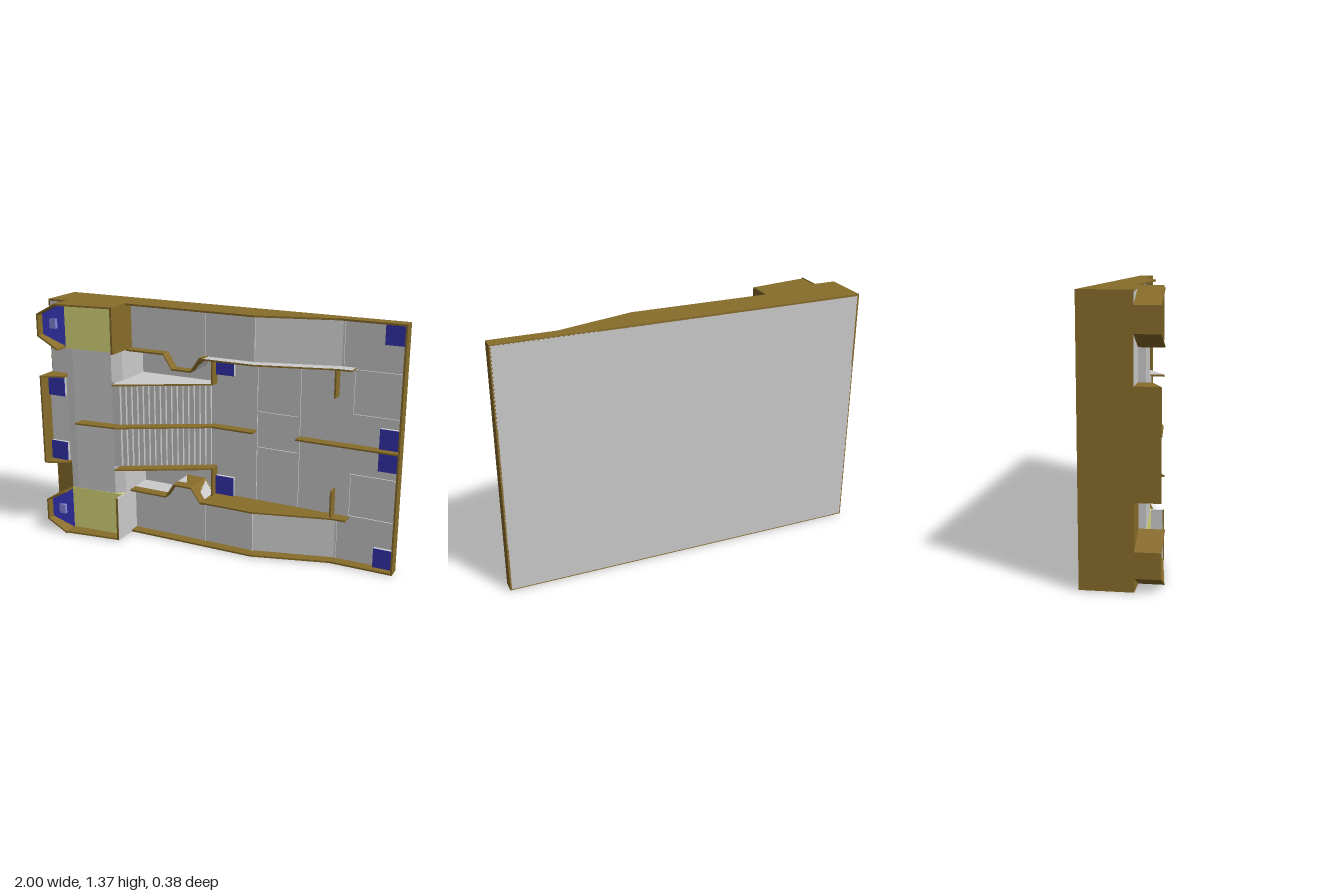
import * as THREE from 'three';

const mat = (color) => new THREE.MeshStandardMaterial({ color, side: THREE.DoubleSide, flatShading: true });

export function createModel() {
  const group = new THREE.Group();
  const grey = mat(0xcccccc), brown = mat(0x886c2a), yellow = mat(0xd8d87c), blue = mat(0x3333b0), pale = mat(0x8888dd);
  const H = 1.355, FLOOR = -0.18;

  const add = (name, geo, material) => {
    const mesh = new THREE.Mesh(geo, material);
    mesh.name = name;
    group.add(mesh);
    return mesh;
  };
  const box = (name, m, x0, x1, y0, y1, z0, z1) =>
    add(name, new THREE.BoxGeometry(x1 - x0, y1 - y0, z1 - z0)
      .translate((x0 + x1) / 2, (y0 + y1) / 2, (z0 + z1) / 2), m);
  // Side profile given as [x, z], swept along y
  const sweepY = (name, m, pts, y0, y1) => {
    const shape = new THREE.Shape(pts.map(([x, z]) => new THREE.Vector2(x, -z)));
    const geo = new THREE.ExtrudeGeometry(shape, { depth: y1 - y0, bevelEnabled: false });
    return add(name, geo.rotateX(-Math.PI / 2).translate(0, y0, 0), m);
  };
  // Outline given as [x, y], swept along z
  const sweepZ = (name, m, pts, z0, z1) => {
    const shape = new THREE.Shape(pts.map(([x, y]) => new THREE.Vector2(x, y)));
    const geo = new THREE.ExtrudeGeometry(shape, { depth: z1 - z0, bevelEnabled: false });
    return add(name, geo.translate(0, 0, z0), m);
  };

  // Backing sheet and end walls
  box('backPanel', grey, -0.995, 0.995, 0.005, H - 0.005, -0.19, FLOOR);
  box('tailWall', brown, 0.99, 1, 0, H, -0.19, -0.12);
  box('noseWall', brown, -1, -0.99, 0, H, -0.19, 0.065);
  box('noseLip', brown, -1, -0.99, 0.42, 0.935, 0.06, 0.187);

  // Upper deck with a chamfered edge, nose ledge and the centre of the nose
  sweepY('deck', grey, [[-0.87, FLOOR], [-0.54, FLOOR], [-0.54, 0.045], [-0.59, 0.08], [-0.83, 0.1], [-0.87, 0.1]], 0.01, H - 0.01);
  sweepY('noseDeck', grey, [[-0.99, FLOOR], [-0.87, FLOOR], [-0.87, 0.1], [-0.99, 0.105]], 0.425, 0.93);

  // Staircase down to the main floor
  const steps = 17, stairs = [[-0.59, FLOOR], [-0.59, 0.08]];
  for (let i = 0; i < steps; i++) {
    const z = 0.08 - (i * 0.26) / steps, x = -0.54 + (i * 0.47) / steps;
    stairs.push([x, z], [x, z - 0.26 / steps]);
  }
  sweepY('stairs', grey, stairs, 0.43, 0.925);

  // Centre dividers
  sweepY('stairDivider', brown, [[-0.79, 0.09], [-0.79, 0.165], [-0.54, 0.14], [-0.07, -0.12], [0.18, -0.12],
    [0.18, FLOOR], [-0.07, FLOOR], [-0.54, 0.07]], 0.673, 0.682);
  box('tailDivider', brown, 0.43, 0.99, 0.673, 0.682, FLOOR, -0.12);

  // Floor seams
  const ridge = (x0, x1, y0, y1) => box('floorSeam', grey, x0, x1, y0, y1, FLOOR, FLOOR + 0.008);
  for (const x of [0.18, 0.43]) ridge(x - 0.004, x + 0.004, 0.27, 1.085);
  for (const y of [0.58, 0.785]) ridge(0.18, 0.43, y - 0.005, y + 0.005);

  // Everything that repeats on the lower and the upper half
  for (const up of [false, true]) {
    const Y = (y) => (up ? H - y : y);
    const span = (a, b) => (up ? [H - b, H - a] : [a, b]);
    const bx = (name, m, x0, x1, a, b, z0, z1) => box(name, m, x0, x1, ...span(a, b), z0, z1);
    const sw = (name, m, pts, a, b) => sweepY(name, m, pts, ...span(a, b));
    const out = (name, m, pts, z0, z1) => sweepZ(name, m, pts.map(([x, y]) => [x, Y(y)]), z0, z1);

    // Outer side wall
    sw('sideWall', brown, [[-1, -0.19], [1, -0.19], [1, -0.12], [0.65, -0.12], [0.23, 0], [-0.54, 0],
      [-0.54, 0.14], [-0.87, 0.185], [-0.87, 0.065], [-1, 0.065]], 0, 0.01);

    // Raised side lane with its ramp and cross seams
    sw('sideLane', grey, [[-0.54, FLOOR], [0.66, FLOOR], [0.21, -0.06], [-0.54, -0.06]], 0.01, 0.265);
    bx('laneSeam', grey, -0.085, -0.075, 0.01, 0.262, -0.07, -0.05);
    bx('laneSeam', grey, 0.205, 0.215, 0.01, 0.262, -0.07, -0.053);
    bx('laneSeam', grey, 0.655, 0.665, 0.01, 0.262, FLOOR, FLOOR + 0.008);

    // Lane rail with an inward bay
    const bay = [[-0.54, 0.265], [-0.305, 0.265], [-0.255, 0.345], [-0.14, 0.345], [-0.085, 0.265], [-0.06, 0.265]];
    out('bayRail', brown, [...bay, ...bay.map(([x, y]) => [x, y - 0.009]).reverse()], FLOOR, 0);
    out('bayFloor', grey, bay.slice(1, 5), FLOOR, -0.06);
    sw('laneRail', up ? [grey, brown] : brown, [[-0.08, FLOOR], [-0.08, 0], [0.23, 0], [0.65, -0.112],
      [0.73, -0.115], [0.73, FLOOR]], 0.259, 0.268);

    // Stair rail and its return
    sw('stairRail', up ? [grey, brown] : brown, [[-0.55, FLOOR], [-0.55, 0.145], [-0.065, -0.118], [-0.065, FLOOR]], 0.425, 0.435);
    bx('stairReturn', brown, -0.072, -0.063, 0.265, 0.435, FLOOR, -0.115);
    bx('floorFin', brown, 0.637, 0.646, 0.265, 0.42, FLOOR, -0.12);

    // Tail floor panel outline
    for (const x of [0.725, 0.982]) bx('floorSeam', grey, x - 0.004, x + 0.004, 0.27, 0.515, FLOOR, FLOOR + 0.008);
    for (const y of [0.272, 0.511]) bx('floorSeam', grey, 0.725, 0.982, y - 0.004, y + 0.004, FLOOR, FLOOR + 0.008);

    // Blue floor tiles on grey sides
    for (const [x, y, z] of [[0.88, 0.01, FLOOR], [0.88, 0.562, FLOOR], [-0.063, 0.27, FLOOR], [-0.99, 0.43, 0.1]]) {
      bx('tileBase', grey, x, x + 0.11, y, y + 0.11, z, z + 0.018);
      bx('tileTop', blue, x, x + 0.11, y, y + 0.11, z + 0.018, z + 0.022);
    }

    // Corner pod: yellow panel and end wall
    sw('podPanel', yellow, [[-0.87, 0.09], [-0.87, 0.104], [-0.545, 0.08], [-0.545, 0.03]], 0.01, 0.262);
    bx('podWall', up ? brown : grey, -0.55, -0.538, 0, 0.258, FLOOR, 0.14);
    bx('podWallEdge', brown, -0.55, -0.538, 0, 0.258, 0.138, 0.143);

    // Nose ledge beside the pod
    bx('noseLedge', up ? grey : brown, -0.998, -0.87, 0.002, 0.425, FLOOR, 0.065);

    // Pod nose rim with a sloped blue face and a small window
    const rim = [[-0.87, -0.005], [-1, 0.065], [-1, 0.19], [-0.87, 0.26]];
    const inner = [[-0.87, 0.25], [-0.99, 0.185], [-0.99, 0.07], [-0.87, 0.005]];
    out('podRim', brown, [...rim, ...inner], 0.065, 0.187);
    const face = out('podFace', blue, inner, 0.065, 0.1);
    const p = face.geometry.attributes.position;
    for (let i = 0; i < p.count; i++) {
      if (p.getZ(i) > 0.09) p.setZ(i, 0.104 + ((-0.87 - p.getX(i)) / 0.12) * 0.04);
    }
    face.geometry.computeVertexNormals();
    bx('podWindow', pale, -0.95, -0.91, 0.095, 0.15, 0.1, 0.137);

    // Nose lip return
    sw('lipReturn', brown, [[-1, 0.06], [-0.87, 0.06], [-0.87, 0.13], [-1, 0.187]], 0.417, 0.427);
  }
  return group;
}
